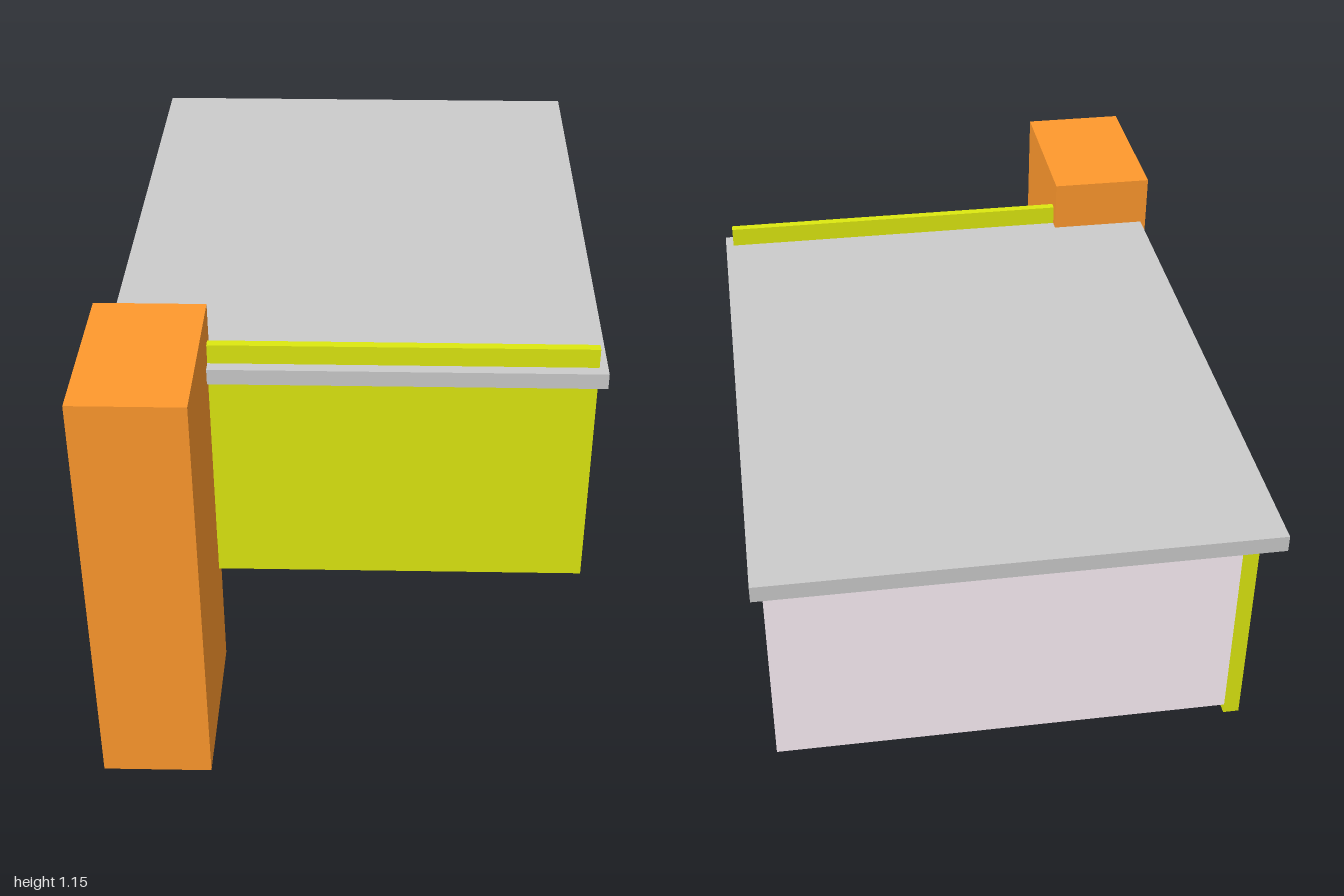
import * as THREE from 'three';

const mat = (color) => new THREE.MeshStandardMaterial({ color });

export function createModel() {
  const house = new THREE.Group();
  house.name = 'house';
  const orange = mat(0xff992d), green = mat(0xdde810), pale = mat(0xfdf1f9), grey = mat(0xcccccc);

  // Box given by its min and max on each axis
  function box(name, material, [x0, x1], [y0, y1], [z0, z1]) {
    const mesh = new THREE.Mesh(new THREE.BoxGeometry(x1 - x0, y1 - y0, z1 - z0), material);
    mesh.position.set((x0 + x1) / 2, (y0 + y1) / 2, (z0 + z1) / 2);
    mesh.name = name;
    house.add(mesh);
  }

  // Rectangle in the (z, y) plane
  function rect(Type, z0, z1, y0, y1) {
    const path = new Type();
    path.moveTo(z0, y0).lineTo(z1, y0).lineTo(z1, y1).lineTo(z0, y1).closePath();
    return path;
  }

  // Upright panel facing -x, with rectangular openings
  function sidePanel(name, material, outline, openings, xInner, depth) {
    const shape = rect(THREE.Shape, ...outline);
    openings.forEach((o) => shape.holes.push(rect(THREE.Path, ...o)));
    const geo = new THREE.ExtrudeGeometry(shape, { depth, bevelEnabled: false });
    const mesh = new THREE.Mesh(geo.rotateY(-Math.PI / 2), material);
    mesh.position.x = xInner;
    mesh.name = name;
    house.add(mesh);
  }

  // Tall corner pillar
  box('pillar', orange, [-0.64, -0.358], [0, 1.155], [0.547, 1]);

  // Front panel, rising past the roof and hanging below the floor
  box('frontPanel', green, [-0.45, 0.618], [0.353, 1.068], [0.577, 0.6]);

  // Front wall, standing just proud of the panel
  box('frontWall', green, [-0.525, 0.607], [0.455, 0.972], [0.56, 0.603]);

  // Pale shell: floor, left wall and back wall
  box('floor', pale, [-0.525, 0.612], [0.455, 0.475], [-0.975, 0.577]);
  box('leftWall', pale, [0.587, 0.612], [0.455, 0.972], [-0.975, 0.577]);
  box('backWall', pale, [-0.525, 0.587], [0.455, 0.972], [-0.975, -0.95]);

  // Flat roof
  box('roof', grey, [-0.625, 0.64], [0.972, 1.015], [-1, 0.63]);

  // Right wall with two framed windows, each split by a thin mullion
  const windows = [[-0.41, -0.12, 0.635, 0.91], [0.01, 0.3, 0.635, 0.91]];
  sidePanel('rightWall', green, [-0.975, 0.577, 0.428, 0.972], windows, -0.525, 0.04);
  const f = 0.015, step = 0.02, t = 0.0015;
  windows.forEach(([z0, z1, y0, y1]) => {
    const mid = (z0 + z1) / 2;
    const inner = [z0 + f, z1 - f, y0 + f, y1 - f];
    sidePanel('windowFrame', orange, [z0, z1, y0, y1], [inner], -0.525, 0.043);
    box('windowMullion', orange, [-0.553, -0.541], [inner[2], inner[3]], [mid - 0.005, mid + 0.005]);

    // Fine see-through screen
    for (let z = inner[0] + step; z < inner[1]; z += step)
      box('windowScreen', grey, [-0.548, -0.546], [inner[2], inner[3]], [z - t, z + t]);
    for (let y = inner[2] + step; y < inner[3]; y += step)
      box('windowScreen', grey, [-0.548, -0.546], [y - t, y + t], [inner[0], inner[1]]);
  });

  return house;
}
